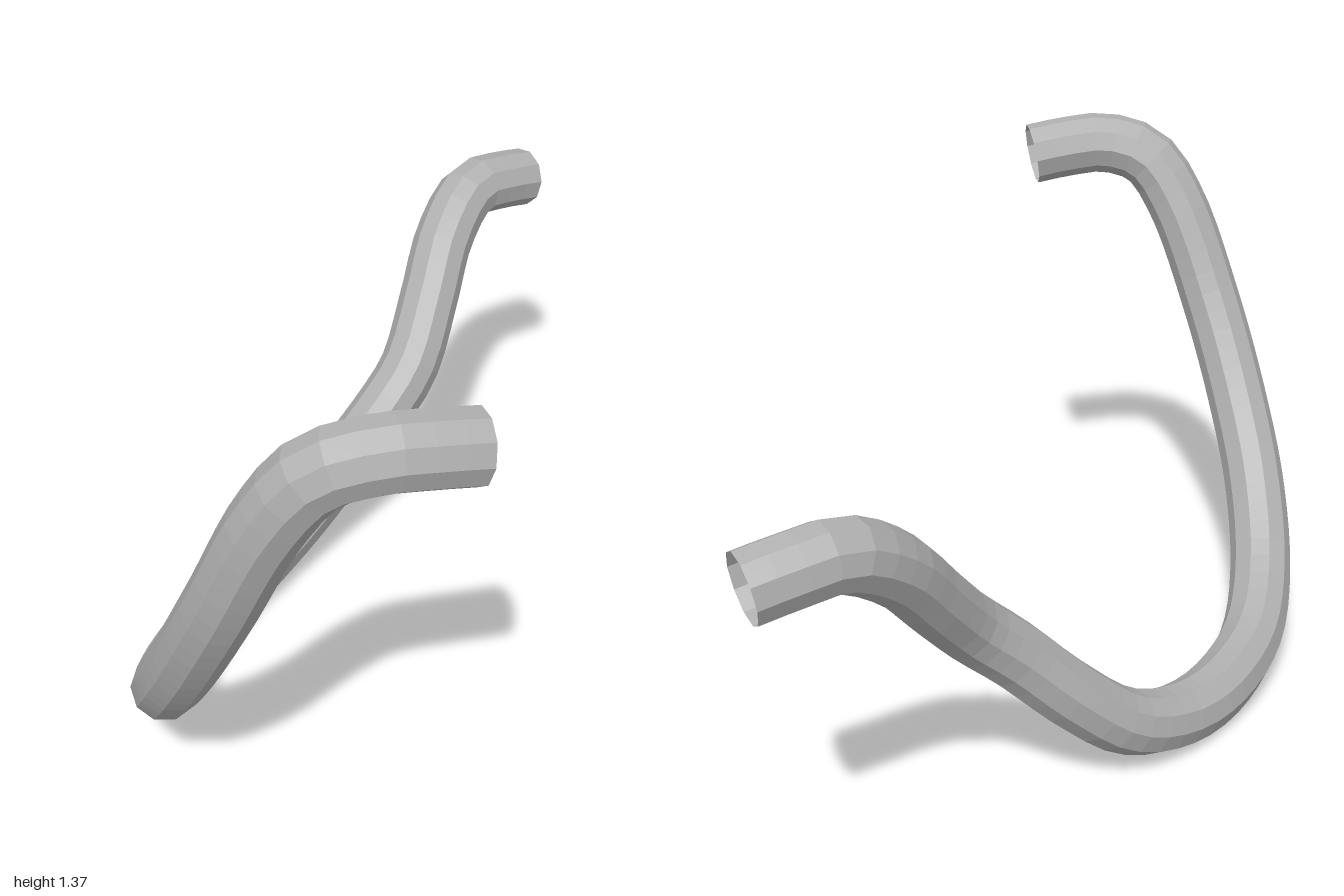
import * as THREE from 'three';

export function createModel() {
  const group = new THREE.Group();
  group.name = 'bentPipe';
  const greyMetal = new THREE.MeshStandardMaterial({ color: 0xb0b0b0, flatShading: true, side: THREE.DoubleSide });
  greyMetal.name = 'grey metal';

  // centre line of the pipe, from the upper front end to the rear end
  const path = [
    [-0.15, 1.262, 0.909], [-0.26, 1.28, 0.909], [-0.37, 1.287, 0.9], [-0.48, 1.25, 0.865], [-0.56, 1.13, 0.815],
    [-0.65, 0.85, 0.705], [-0.7, 0.6, 0.56], [-0.715, 0.4, 0.4], [-0.685, 0.22, 0.2],
    [-0.605, 0.12, 0], [-0.455, 0.085, -0.2], [-0.31, 0.094, -0.325], [-0.15, 0.155, -0.42],
    [0, 0.28, -0.465], [0.15, 0.43, -0.493], [0.26, 0.54, -0.54], [0.36, 0.685, -0.645],
    [0.455, 0.83, -0.755], [0.57, 0.916, -0.845], [0.67, 0.912, -0.885], [0.775, 0.895, -0.918],
  ].map((p) => new THREE.Vector3(...p));

  // open ten-sided pipe
  const curve = new THREE.CatmullRomCurve3(path, false, 'centripetal');
  const geometry = new THREE.TubeGeometry(curve, 64, 0.085, 10, false);

  // rest on the ground and centre
  geometry.computeBoundingBox();
  const { min, max } = geometry.boundingBox;
  geometry.translate(-(min.x + max.x) / 2, -min.y, -(min.z + max.z) / 2);

  const pipe = new THREE.Mesh(geometry, greyMetal);
  pipe.name = 'pipe';
  group.add(pipe);
  return group;
}
